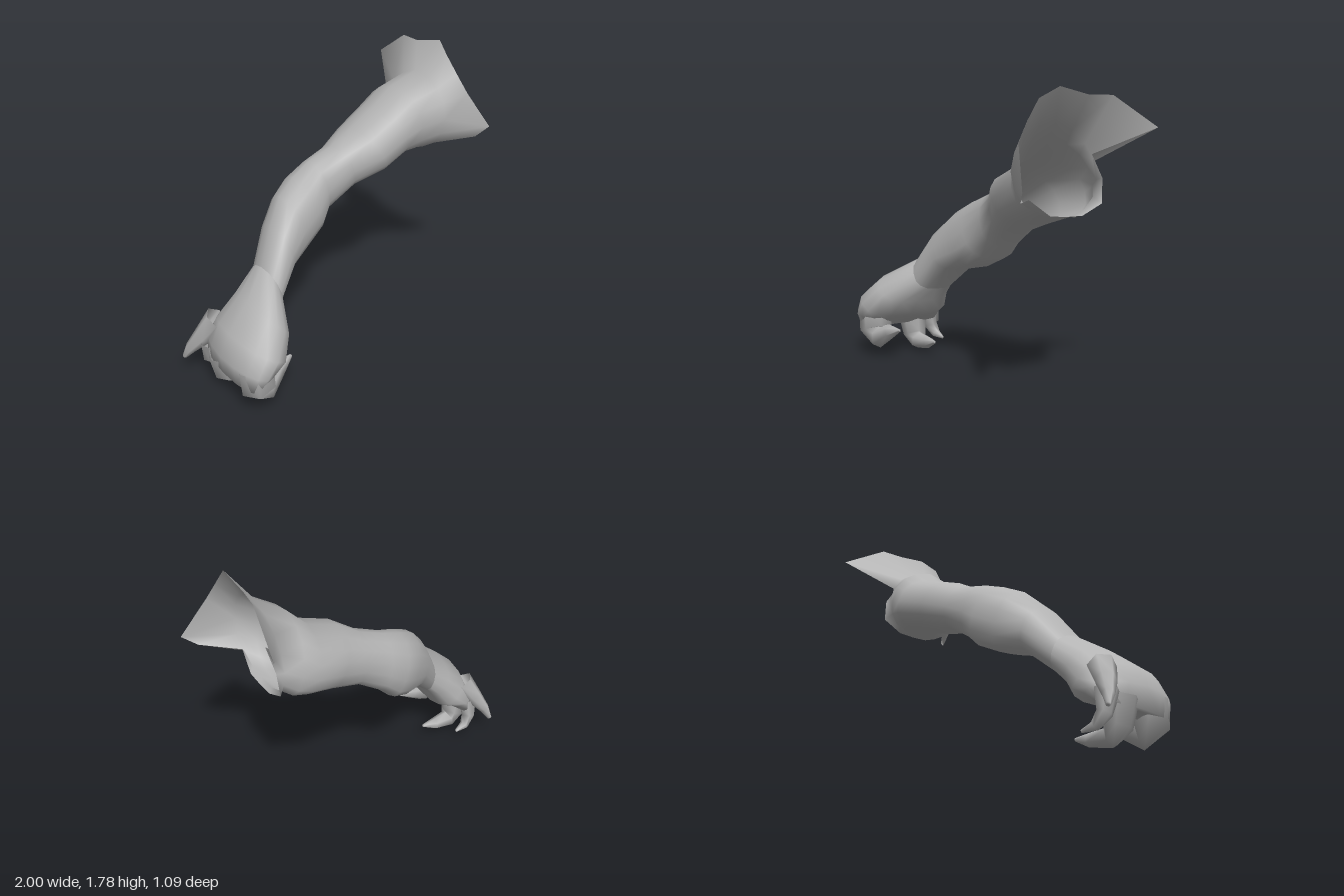
import * as THREE from 'three';

const SIDES = 16;

// Skin a list of equally long point rings that advance along the limb
function loft(rings) {
  const n = rings[0].length;
  const index = [];
  for (let i = 0; i < rings.length - 1; i++) {
    for (let j = 0; j < n; j++) {
      const k = (j + 1) % n;
      const a = i * n + j, b = i * n + k, c = a + n, d = b + n;
      index.push(a, b, c, b, d, c);
    }
  }
  const geometry = new THREE.BufferGeometry();
  geometry.setAttribute('position', new THREE.Float32BufferAttribute(rings.flat(2), 3));
  geometry.setIndex(index);
  geometry.computeVertexNormals();
  return geometry;
}

// Ring between a top and a bottom point, from zBack to zFront; a lower power is boxier.
// The back half sags a little towards the bottom point.
function ovalRing([tx, ty, bx, by, zBack, zFront, power = 0.85]) {
  const bulge = (v) => (Math.sign(v) * Math.abs(v) ** power) / 2;
  return Array.from({ length: SIDES }, (_, j) => {
    const a = (j / SIDES) * Math.PI * 2;
    const s = bulge(Math.sin(a));
    const c = bulge(Math.cos(a)) - Math.max(0, -s) * 0.25;
    return [
      (tx + bx) / 2 + (tx - bx) * c,
      (ty + by) / 2 + (ty - by) * c,
      (zBack + zFront) / 2 + (zFront - zBack) * s,
    ];
  });
}

// Tapering six-sided finger through [x, y, z, radius] joints
function fingerGeometry(joints) {
  const points = joints.map((p) => new THREE.Vector3(p[0], p[1], p[2]));
  const last = points.length - 1;
  const rings = points.map((p, i) => {
    const dir = points[Math.min(i + 1, last)].clone().sub(points[Math.max(i - 1, 0)]).normalize();
    const u = new THREE.Vector3(0, 0, 1).cross(dir).normalize();
    const w = dir.clone().cross(u);
    return Array.from({ length: 6 }, (_, j) => {
      const a = (j / 6) * Math.PI * 2, r = joints[i][3];
      return p.clone().addScaledVector(u, Math.cos(a) * r).addScaledVector(w, Math.sin(a) * r).toArray();
    });
  });
  rings.push(Array.from({ length: 6 }, () => points[last].toArray()));
  return loft(rings);
}

export function createModel() {
  const group = new THREE.Group();
  const grey = new THREE.MeshStandardMaterial({ color: 0xb4b4b4, side: THREE.DoubleSide });
  grey.name = 'grey';

  const add = (name, geometry) => {
    const mesh = new THREE.Mesh(geometry, grey);
    mesh.name = name;
    group.add(mesh);
  };

  const wrist = [-0.57, 0.71, -0.5, 0.49, -0.03, 0.26];

  // Arm: forearm, elbow, upper arm, then the torn shoulder rim
  const arm = [
    wrist,
    [-0.45, 0.9, -0.35, 0.64, -0.12, 0.2],
    [-0.33, 1.03, -0.19, 0.68, -0.2, 0.14],
    [-0.2, 1.1, -0.06, 0.75, -0.255, 0.11],
    [-0.06, 1.16, 0.02, 0.83, -0.245, 0.05],
    [0.1, 1.22, 0.2, 0.95, -0.245, 0.08],
    [0.24, 1.31, 0.4, 1.02, -0.29, 0.16],
    [0.45, 1.4, 0.58, 1.08, -0.335, 0.15],
    [0.56, 1.51, 0.66, 1.09, -0.32, 0.19],
    [0.71, 1.6, 0.71, 1.1, -0.28, 0.27, 1],
  ].map(ovalRing);
  const rim = [
    [0.84, 1.78, 0.06], [0.8, 1.72, 0.16], [0.82, 1.61, 0.24], [0.85, 1.5, 0.31],
    [1, 1.27, 0.38], [0.92, 1.21, 0.34], [0.73, 1.2, 0.17], [0.75, 1.11, 0.05],
    [0.75, 1.1, -0.05], [0.75, 1.1, -0.16], [0.75, 1.16, -0.29], [0.76, 1.3, -0.28],
    [0.77, 1.43, -0.2], [0.9, 1.57, -0.54], [0.85, 1.74, -0.27], [0.83, 1.74, -0.13],
  ];
  add('arm', loft([...arm, rim]));

  // Hand: closed knuckle end widening from the wrist
  const hand = [
    [-0.86, 0.22, -0.86, 0.22, 0.2, 0.2],
    [-0.93, 0.2, -0.8, 0.2, -0.04, 0.5, 0.8],
    [-0.95, 0.33, -0.72, 0.26, -0.06, 0.545, 0.9],
    [-0.89, 0.46, -0.63, 0.3, -0.05, 0.54, 0.8],
    [-0.74, 0.59, -0.57, 0.4, -0.03, 0.46, 0.85],
    wrist,
  ].map(ovalRing);
  add('hand', loft(hand));

  // Curled fingers
  const fingers = {
    indexFinger: [[-0.83, 0.32, 0.42, 0.11], [-0.82, 0.19, 0.42, 0.11], [-0.77, 0.13, 0.41, 0.075], [-0.66, 0.19, 0.38, 0.05], [-0.55, 0.22, 0.36, 0.01]],
    middleFinger: [[-0.86, 0.26, 0.13, 0.1], [-0.84, 0.11, 0.12, 0.08], [-0.79, 0.06, 0.11, 0.06], [-0.66, 0.075, 0.1, 0.04], [-0.56, 0.1, 0.1, 0.01]],
    ringFinger: [[-0.87, 0.27, 0.01, 0.07], [-0.87, 0.14, -0.02, 0.045], [-0.82, 0.08, -0.04, 0.03], [-0.74, 0.07, -0.05, 0.01]],
    littleFinger: [[-0.83, 0.42, 0.03, 0.08], [-0.9, 0.3, -0.03, 0.06], [-0.96, 0.2, -0.09, 0.035], [-0.985, 0.13, -0.125, 0.015]],
  };
  for (const [name, joints] of Object.entries(fingers)) add(name, fingerGeometry(joints));

  return group;
}
